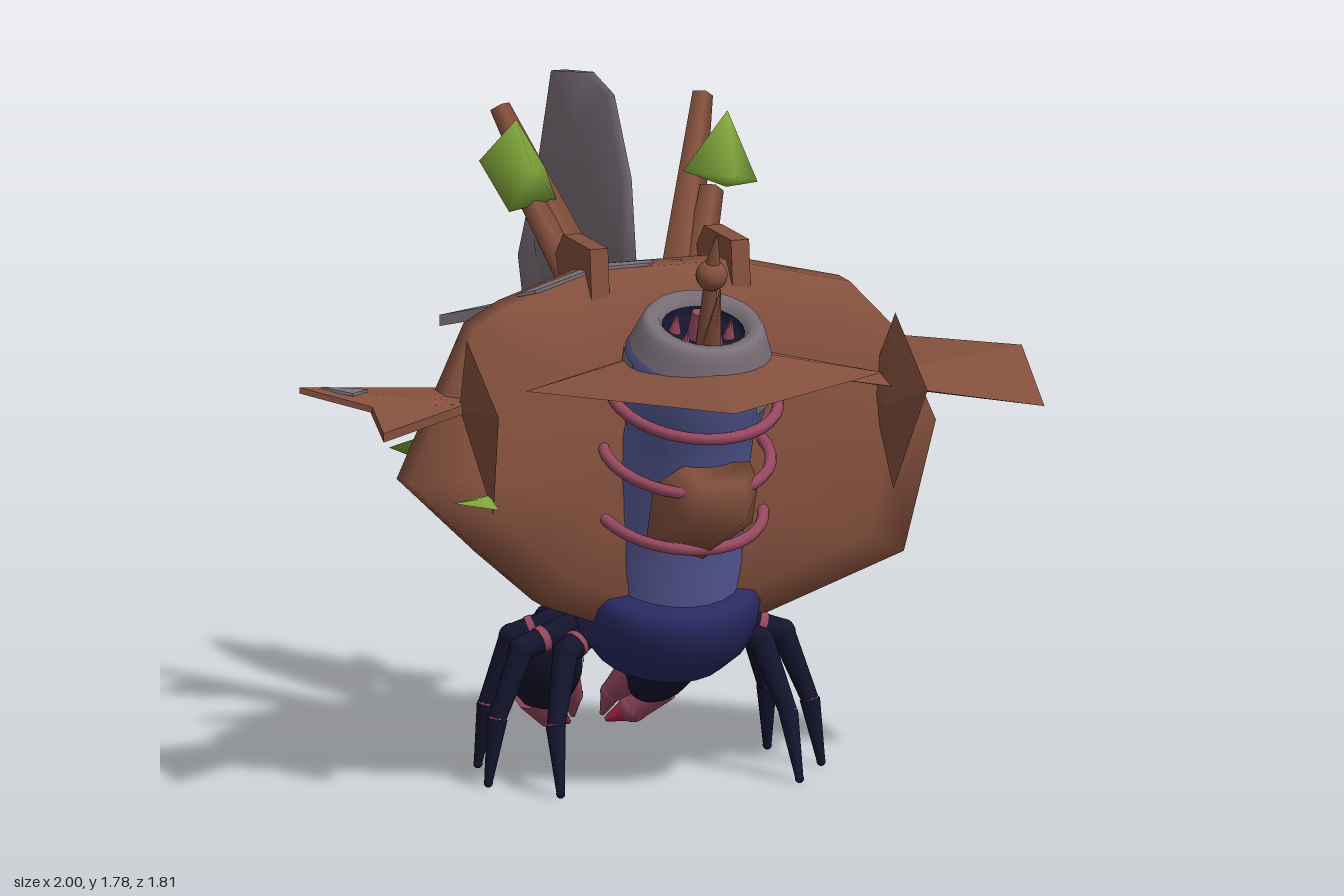
import * as THREE from 'three';
import { ConvexGeometry } from 'three/addons/geometries/ConvexGeometry.js';
import { mergeVertices } from 'three/addons/utils/BufferGeometryUtils.js';

const V = (x, y, z) => new THREE.Vector3(x, y, z);
const CX = 0.04; // centre line of crab, barrel and sail

function material(name, color) {
  const m = new THREE.MeshStandardMaterial({ color, side: THREE.DoubleSide });
  m.name = name;
  return m;
}

export function createModel() {
  const root = new THREE.Group();
  root.name = 'hermitCrab';
  const brown = material('wood brown', 0x84503d), gray = material('bone gray', 0x7b7079);
  const navy = material('shell navy', 0x282a62), blue = material('shell blue', 0x5a5e9e);
  const dark = material('crab dark', 0x14142e), pink = material('crab pink', 0x964860);
  const red = material('ball red', 0xa62443), green = material('leaf green', 0x80a63a);
  const orange = material('eye orange', 0x9c6237);

  function add(name, geo, mat, pos, parent = root) {
    const m = new THREE.Mesh(geo, mat);
    m.name = name;
    if (pos) m.position.copy(pos);
    parent.add(m);
    return m;
  }
  // solid around a few corner points, faceted or smoothed
  const hull = (name, mat, pts) => add(name, new ConvexGeometry(pts.map(p => V(...p))), mat);
  function smooth(geo) {
    geo.deleteAttribute('normal');
    geo.deleteAttribute('uv');
    const g = mergeVertices(geo);
    g.computeVertexNormals();
    return g;
  }
  const smoothHull = (name, mat, pts) => add(name, smooth(new ConvexGeometry(pts.map(p => V(...p)))), mat);
  // flat board: outline points thickened in y
  const board = (name, mat, pts, t) =>
    hull(name, mat, pts.flatMap(([x, y, z]) => [[x, y + t, z], [x, y - t, z]]));
  // tapered round bar from a to b
  function limb(name, a, b, r1, r2, mat, sides = 10) {
    const d = b.clone().sub(a);
    const m = add(name, new THREE.CylinderGeometry(r2, r1, d.length(), sides), mat, a.clone().add(b).multiplyScalar(0.5));
    m.quaternion.setFromUnitVectors(V(0, 1, 0), d.normalize());
  }
  function ball(name, pos, s, mat, parent) {
    const m = add(name, new THREE.SphereGeometry(1, 16, 12), mat, pos, parent);
    m.scale.set(...s);
  }
  const tube = (name, pts, r, mat) =>
    add(name, new THREE.TubeGeometry(new THREE.CatmullRomCurve3(pts), 24, r, 7), mat);

  // wide lens-shaped wooden hull built from scaled outlines, its ends swept forward
  const outline = [[-0.71, 0.86], [-0.49, 0.65], [-0.33, 0.51], [-0.18, 0.455], [0.29, 0.455], [0.66, 0.6], [0.755, 0.94],
    [0.66, 1.18], [0.54, 1.31], [0.22, 1.38], [-0.15, 1.375], [-0.4, 1.3], [-0.5, 1.25]];
  const rings = [[0.02, 0.15], [0.5, 0.14], [0.82, 0.11], [1, 0.045], [1, -0.045], [0.82, -0.11], [0.5, -0.14], [0.02, -0.15]];
  const pos = [], idx = [], n = outline.length;
  rings.forEach(([s, dz], i) => outline.forEach(([x, y], j) => {
    const py = 0.92 + (y - 0.92) * s, dx = (x - CX) * s;
    pos.push(CX + dx, py, 0.11 + 0.1 * (1.4 - py) + 0.12 * dx * dx + dz);
    if (i < rings.length - 1) {
      const a = i * n + j, b = i * n + (j + 1) % n;
      idx.push(a, a + n, b, b, a + n, b + n);
    }
  }));
  const hullGeo = new THREE.BufferGeometry();
  hullGeo.setAttribute('position', new THREE.Float32BufferAttribute(pos, 3));
  hullGeo.setIndex(idx);
  hullGeo.computeVertexNormals();
  add('woodenHull', hullGeo, brown);
  board('hullPaint', gray, [[-0.36, 1.318, 0.14], [-0.14, 1.381, 0.12], [0.02, 1.384, 0.13], [0, 1.381, 0.155], [-0.15, 1.379, 0.16], [-0.32, 1.33, 0.17]], 0.004);

  // deck behind the hull, half bare wood and half gray
  board('deckWood', brown, [[0.1, 1.32, -0.1], [0.35, 1.28, -0.14], [0.5, 1.2, 0.13], [0.1, 1.36, 0.12]], 0.02);
  board('deckGray', gray, [[-0.5, 1.22, -0.08], [0.1, 1.3, -0.1], [0.1, 1.35, 0.1], [-0.33, 1.28, 0.1]], 0.015);

  // side wings and forward fins
  hull('wingLeft', brown, [[0.52, 1.08, 0.08], [0.65, 1.11, -0.14], [1, 1.12, 0.24], [0.99, 1.04, 0.25], [0.95, 1.02, 0.57],
    [0.48, 1.07, 0.3], [0.72, 1.1, 0.1], [0.6, 1.03, 0.2]]);
  board('wingRight', brown, [[-0.38, 1.05, 0.05], [-1, 1.125, 0.25], [-0.83, 1.08, 0.35], [-0.5, 1.06, 0.3]], 0.008);
  board('wingRightTip', brown, [[-0.7, 1.08, 0.2], [-0.83, 1.08, 0.33], [-0.87, 1.045, 0.55], [-0.55, 1.06, 0.3]], 0.012);
  board('wingRightPaint', gray, [[-0.94, 1.127, 0.25], [-0.81, 1.113, 0.25], [-0.87, 1.114, 0.3]], 0.004);
  for (const [name, x, s] of [['finLeft', 0.61, 1], ['finRight', -0.535, -1]])
    hull(name, brown, [[x + 0.02 * s, 1.24, 0.3], [x - 0.03 * s, 1.05, 0.24], [x + 0.04 * s, 1.06, 0.3],
      [x + 0.02 * s, 1.08, 0.56], [x - 0.02 * s, 0.79, 0.4], [x - 0.03 * s, 1, 0.35]]);

  // four-cornered visor around the barrel
  hull('visor', brown, [[-0.42, 1.11, 0.38], [-0.02, 1.12, 0.9], [0.5, 1.14, 0.58], [0.14, 1.14, 0.14],
    [-0.15, 1.185, 0.42], [0.02, 1.17, 0.62], [0.22, 1.19, 0.5], [0.08, 1.2, 0.26], [0.02, 1.1, 0.7]]);

  // tilted barrel shell
  const barrel = new THREE.Group();
  barrel.name = 'barrelShell';
  barrel.position.set(CX, 0.33, 0.11);
  barrel.rotation.x = 0.37;
  root.add(barrel);
  const lathe = (name, pts, mat) =>
    add(name, new THREE.LatheGeometry(pts.map(p => new THREE.Vector2(...p)), 24), mat, null, barrel);
  lathe('shellBase', [[0, -0.03], [0.1, -0.02], [0.18, 0.025], [0.23, 0.09], [0.247, 0.16], [0.247, 0.215], [0.23, 0.25], [0.175, 0.265]], navy);
  lathe('shellTube', [[0.19, 0.22], [0.185, 0.32], [0.17, 0.5], [0.17, 0.7], [0.195, 0.82], [0.198, 0.92], [0.185, 0.95]], blue);
  lathe('shellRim', [[0.188, 0.945], [0.175, 0.98], [0.165, 1.01], [0.15, 1.03], [0.12, 1.025], [0.108, 0.99]], gray);
  lathe('shellHole', [[0.11, 1.005], [0.1, 0.975], [0, 0.965]], dark);
  for (const [a, w] of [[0.6, 0.5], [2.2, 0.8], [4.3, 0.6]])
    add('shellGrayPatch', new THREE.CylinderGeometry(0.2, 0.201, 0.1, 6, 1, true, a, w), gray, V(0, 0.88, 0), barrel);
  for (const y of [0.46, 0.63, 0.8])
    add('pinkHoop', new THREE.TorusGeometry(0.222, 0.016, 8, 32).rotateX(Math.PI / 2), pink, V(0, y, 0), barrel);
  for (let i = 0; i < 5; i++) {
    const a = i * 1.257;
    add('mouthFeeler', new THREE.ConeGeometry(0.022, 0.08, 7), pink, V(0.075 * Math.cos(a), 0.995, 0.075 * Math.sin(a)), barrel);
  }
  // rounded back of the shell, showing behind the hull
  ball('shellBack', V(CX, 0.64, 0.1), [0.17, 0.22, 0.13], blue);
  smoothHull('frontBoss', brown, [[-0.02, 0.91, 0.5], [0.16, 0.91, 0.5], [0.19, 0.85, 0.48], [0.19, 0.73, 0.43], [0.05, 0.645, 0.44],
    [-0.1, 0.7, 0.42], [-0.1, 0.86, 0.48], [0, 0.87, 0.575], [0.12, 0.87, 0.575], [0.13, 0.77, 0.57], [-0.03, 0.77, 0.57], [0.05, 0.69, 0.52]]);

  // mast with bead and spike in the barrel mouth
  limb('mast', V(CX, 1.2, 0.47), V(CX, 1.42, 0.54), 0.022, 0.018, brown);
  ball('mastBead', V(CX, 1.42, 0.54), [0.042, 0.042, 0.042], brown);
  limb('mastTip', V(CX, 1.43, 0.54), V(CX, 1.535, 0.585), 0.025, 0.002, brown);
  limb('mouthSpike', V(0.03, 1.22, 0.555), V(0.03, 1.4, 0.64), 0.03, 0.002, brown, 5);
  limb('mouthTongue', V(0.03, 1.2, 0.43), V(0.03, 1.31, 0.47), 0.03, 0.02, pink, 7);

  // posts, footings and beams behind the hull
  for (const s of [-1, 1]) {
    limb('post', V(CX + 0.1 * s, 1.2, -0.06), V(CX + 0.28 * s, 1.72, -0.36), 0.065, 0.03, brown, 5);
    limb('sidePost', V(CX + 0.14 * s, 1.22, -0.04), V(CX + 0.25 * s, 1.5, -0.2), 0.05, 0.035, brown, 5);
    limb('backBeam', V(CX + 0.36 * s, 1.2, -0.08), V(CX + 0.08 * s, 1.17, -0.2), 0.06, 0.045, brown, 6);
    hull('postFooting', brown, [0.17, 0.22].flatMap(d => [[1.44, 0.2], [1.44, -0.02], [1.38, -0.08], [1.25, -0.02], [1.25, 0.22]]
      .map(([y, z]) => [CX + s * d, y, z])));
    // hanging lanterns
    const lx = s > 0 ? 0.14 : 0.0;
    ball('lanternBall', V(lx + 0.04 * s, 1.13, -0.22), [0.055, 0.06, 0.05], brown);
    limb('lanternCap', V(lx, 0.93, -0.255), V(lx, 0.985, -0.25), 0.035, 0.025, gray, 8);
    limb('lanternDrop', V(lx, 0.93, -0.255), V(lx, 0.84, -0.265), 0.033, 0.002, pink, 8);
  }
  smoothHull('postLeafRight', green, [[-0.36, 1.62, -0.17], [-0.25, 1.67, -0.16], [-0.14, 1.5, -0.19], [-0.28, 1.48, -0.16],
    [-0.24, 1.6, -0.08], [-0.24, 1.61, -0.28], [-0.16, 1.58, -0.22], [-0.25, 1.72, -0.19]]);
  smoothHull('postLeafLeft', green, [[0.33, 1.71, -0.18], [0.42, 1.51, -0.2], [0.2, 1.56, -0.16], [0.32, 1.55, -0.08],
    [0.31, 1.62, -0.28], [0.32, 1.51, -0.16]]);
  hull('centreLeaf', green, [[CX - 0.08, 1.25, -0.2], [CX + 0.08, 1.25, -0.2], [CX, 1.29, -0.13], [CX, 1.2, -0.25]]);
  tube('ringLoop', [V(CX, 1.26, -0.19), V(CX, 1.2, -0.26), V(CX, 1.07, -0.24), V(CX, 1.12, -0.18)], 0.014, brown);
  for (const [name, mat, x, y, z, d] of [['looseLeaf', green, -0.57, 0.83, 0.43, 0.01], ['looseLeaf', green, -0.58, 0.89, -0.06, -0.05],
    ['looseChip', brown, -0.585, 0.96, -0.04, -0.035], ['looseChip', brown, 0.66, 0.9, -0.07, 0.05], ['looseLeaf', green, 0.69, 0.92, -0.07, 0.02]])
    hull(name, mat, [[x - 0.06, y, z - 0.02], [x + 0.05, y + d, z - 0.05], [x + 0.04, y - d, z + 0.06], [x, y + 0.01, z]]);

  // gray sail and its drooping tail
  const spread = (pts) => pts.flatMap(([z, y, w]) => [[CX - w, y, z], [CX + w, y, z]]);
  smoothHull('sail', gray, spread([[-0.12, 1.3, 0.02], [-0.15, 1.55, 0.015], [-0.28, 1.75, 0.012], [-0.45, 1.78, 0.012], [-0.7, 1.74, 0.02],
    [-0.71, 1.45, 0.06], [-0.69, 1.01, 0.03], [-0.61, 1.01, 0.02], [-0.45, 1.14, 0.02], [-0.3, 1.5, 0.045], [-0.45, 1.62, 0.05], [-0.65, 1.3, 0.085]]));
  smoothHull('sailTail', gray, spread([[-0.48, 1.5, 0.03], [-0.7, 1.45, 0.07], [-0.8, 1.27, 0.06], [-0.835, 0.74, 0.01], [-0.81, 0.74, 0.01],
    [-0.68, 1.02, 0.04], [-0.72, 1.25, 0.105]]));
  // long pole through the sail with end block and barbed point
  limb('pole', V(CX, 0.9, -0.03), V(CX, 1.33, -0.86), 0.018, 0.03, brown, 6);
  hull('poleEnd', brown, spread([[-0.855, 1.395, 0.025], [-0.91, 1.33, 0.01], [-0.82, 1.26, 0.03], [-0.79, 1.31, 0.03]]));
  add('poleBarb', new THREE.OctahedronGeometry(1), brown, V(CX, 0.89, -0.06)).scale.set(0.05, 0.03, 0.075);
  add('redBall', smooth(new THREE.DodecahedronGeometry(0.158)), red, V(0.035, 0.7, -0.5)).rotation.x = 0.3;

  // crab body and head
  ball('crabBody', V(CX, 0.47, -0.06), [0.17, 0.1, 0.14], dark);
  ball('crabHead', V(CX, 0.51, -0.16), [0.1, 0.08, 0.08], dark);
  for (const s of [-1, 1]) {
    const P = (x, y, z) => V(CX + s * x, y, z);
    // eyes and pink cords
    tube('eyeStalk', [P(0.05, 0.54, -0.17), P(0.07, 0.63, -0.23), P(0.08, 0.7, -0.24)], 0.022, dark);
    ball('eye', P(0.08, 0.72, -0.25), [0.028, 0.055, 0.025], dark);
    ball('eyeFace', P(0.08, 0.725, -0.263), [0.02, 0.045, 0.018], orange);
    tube('cord', [P(-0.03, 0.88, 0.04), P(0.05, 0.76, -0.025), P(0.13, 0.6, -0.04), P(0.1, 0.43, -0.1)], 0.015, pink);
    tube('outerCord', [P(0.08, 0.86, 0.05), P(0.15, 0.72, 0.03), P(0.17, 0.58, 0), P(0.14, 0.48, -0.08)], 0.014, pink);
    tube('feeler', [P(0.03, 0.56, -0.2), P(0.09, 0.56, -0.22), P(0.1, 0.46, -0.21)], 0.008, orange);
    tube('cheekStripe', [P(0.04, 0.585, -0.14), P(0.1, 0.56, -0.1), P(0.15, 0.5, -0.12)], 0.01, pink);

    // claw: arm, egg-shaped palm with markings behind, two curved pincers
    limb('clawArm', P(0.1, 0.44, -0.12), P(0.19, 0.38, -0.2), 0.05, 0.045, dark);
    ball('clawElbow', P(0.19, 0.38, -0.2), [0.047, 0.045, 0.045], dark);
    const claw = new THREE.Group();
    claw.name = 'claw';
    claw.position.copy(P(0.165, 0.235, -0.32));
    claw.quaternion.setFromUnitVectors(V(0, 1, 0), V(s * 0.2, 0.75, 0.58).normalize());
    root.add(claw);
    ball('palm', V(0, 0, 0), [0.1, 0.155, 0.08], dark, claw);
    for (const [mat, t0, t1, p0, p1] of [[pink, 0.5, 0.62, 3, 6.4], [pink, 1.45, 1.65, 2.9, 4.4], [red, 1.65, 1.85, 4.1, 5.2],
      [pink, 1.45, 1.65, 5, 6.5], [pink, 2.2, 2.4, 3.2, 6.2]])
      add('palmMarking', new THREE.SphereGeometry(1.02, 18, 4, p0, p1 - p0, t0, t1 - t0), mat, null, claw).scale.set(0.1, 0.155, 0.08);
    for (const [a, b, tip, r, tipMat] of [
      [P(0.18, 0.15, -0.385), P(0.115, 0.085, -0.43), P(0.05, 0.05, -0.465), 0.04, red],
      [P(0.1, 0.19, -0.38), P(0.055, 0.13, -0.43), P(0.04, 0.065, -0.465), 0.03, pink]]) {
      limb('pincerBase', a, b, 0.05, r, pink);
      ball('pincerJoint', b, [r, r, r], pink);
      limb('pincerTip', b, tip, r, 0.006, tipMat);
    }

    // walking legs: [hip z, knee x, knee z, foot x, foot z]
    for (const [hz, kx, kz, fx, fz] of [[0.08, 0.27, 0.15, 0.33, 0.285], [0.02, 0.36, 0.06, 0.46, 0.08], [-0.07, 0.33, -0.11, 0.4, -0.18]]) {
      const hip = P(0.12, 0.44, hz), knee = P(kx, 0.36, kz), foot = P(fx, 0.012, fz);
      const mid = knee.clone().lerp(foot, 0.52).add(V(s * 0.02, 0, 0));
      limb('legUpper', hip, knee, 0.035, 0.034, dark);
      ball('legKnee', knee, [0.035, 0.035, 0.035], dark);
      limb('legJointBand', hip.clone().lerp(knee, 0.72), hip.clone().lerp(knee, 0.8), 0.037, 0.037, pink);
      limb('legShin', knee, mid, 0.034, 0.024, dark);
      ball('legAnkle', mid, [0.024, 0.018, 0.024], pink);
      limb('legFoot', mid, foot, 0.027, 0.011, dark);
      ball('legToe', foot, [0.012, 0.012, 0.012], dark);
    }
  }
  return root;
}
